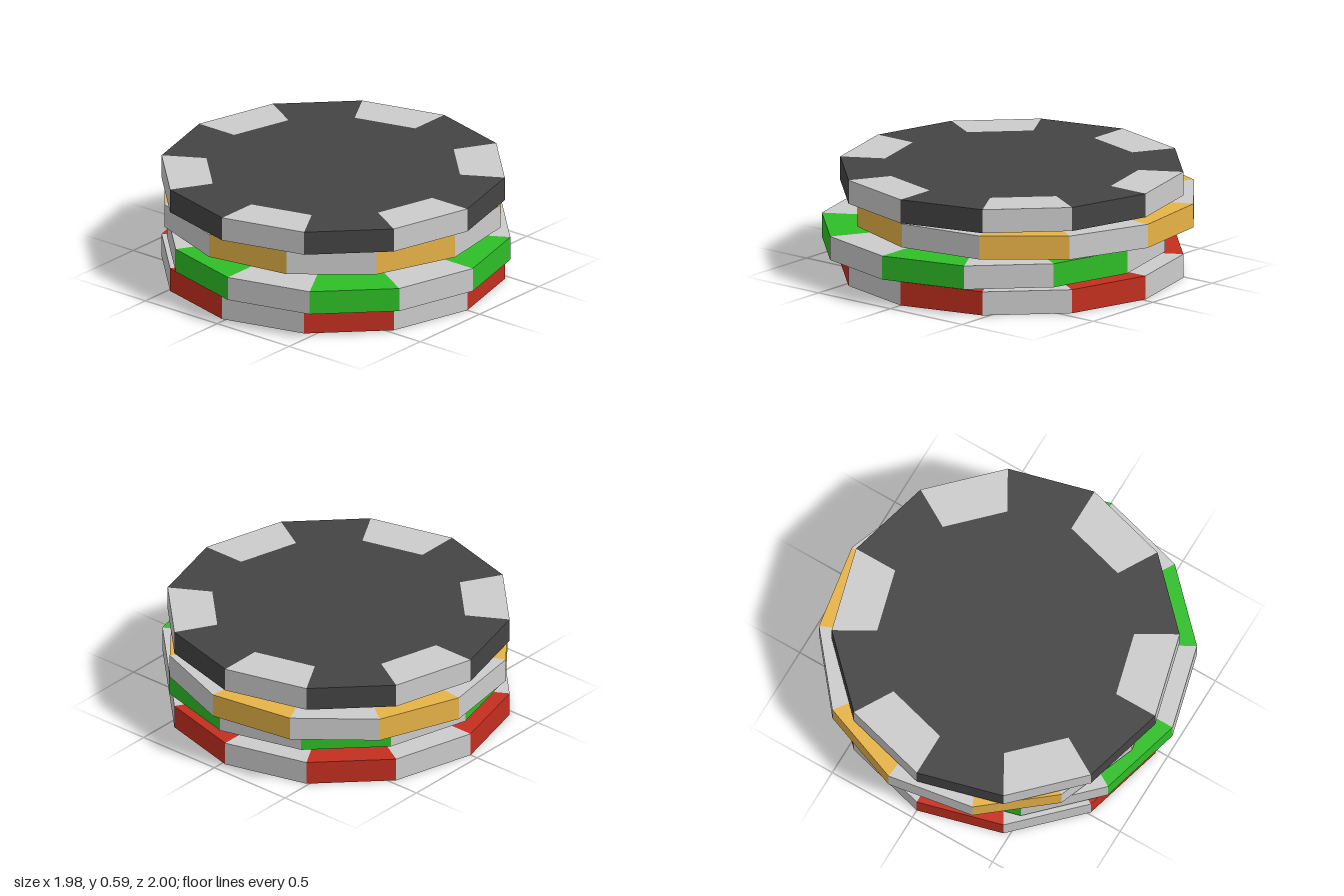
import * as THREE from 'three';

const R = 0.934;        // outer radius
const INNER = 0.69;     // radius where the edge inserts end
const THICK = 0.131;
const PITCH = 0.1525;   // vertical spacing of the chips
const STEP = Math.PI / 6;

// Point on the chip's plan; corner i counts from the front (+z) towards +x
const corner = (r, i) => new THREE.Vector2(r * Math.sin(i * STEP), -r * Math.cos(i * STEP));

// Plan outline raised to the chip thickness
function slab(points) {
  const geo = new THREE.ExtrudeGeometry(new THREE.Shape(points), { depth: THICK, bevelEnabled: false });
  return geo.rotateX(-Math.PI / 2);
}

function makeChip(color) {
  const chip = new THREE.Group();

  // Twelve-sided body, notched on every other side
  const outline = [];
  for (let i = 0; i < 12; i += 2) {
    outline.push(corner(INNER, i - 1), corner(INNER, i), corner(R, i), corner(R, i + 1));
  }
  const body = new THREE.Mesh(slab(outline), new THREE.MeshStandardMaterial({ color, flatShading: true }));
  body.name = 'chipBody';
  chip.add(body);

  // Pale inserts filling the notches
  const pale = new THREE.MeshStandardMaterial({ color: 0xcccccc, flatShading: true });
  const insertGeo = slab([corner(INNER, -1), corner(R, -1), corner(R, 0), corner(INNER, 0)]);
  for (let k = 0; k < 6; k++) {
    const insert = new THREE.Mesh(insertGeo, pale);
    insert.name = 'edgeInsert';
    insert.rotation.y = k * 2 * STEP;
    chip.add(insert);
  }
  return chip;
}

export function createModel() {
  const stack = new THREE.Group();
  stack.name = 'chipStack';
  // Loose stack, bottom to top
  const chips = [
    { name: 'redChip', color: 0xc42f1f, x: 0, z: -0.02, turn: 0 },
    { name: 'greenChip', color: 0x2ebe27, x: -0.057, z: 0.066, turn: 0 },
    { name: 'yellowChip', color: 0xe7b347, x: 0.056, z: -0.07, turn: STEP - 0.1 },
    { name: 'blackChip', color: 0x444444, x: 0, z: -0.02, turn: 0 },
  ];
  chips.forEach(({ name, color, x, z, turn }, i) => {
    const chip = makeChip(color);
    chip.name = name;
    chip.position.set(x, i * PITCH, z);
    chip.rotation.y = turn;
    stack.add(chip);
  });
  return stack;
}
